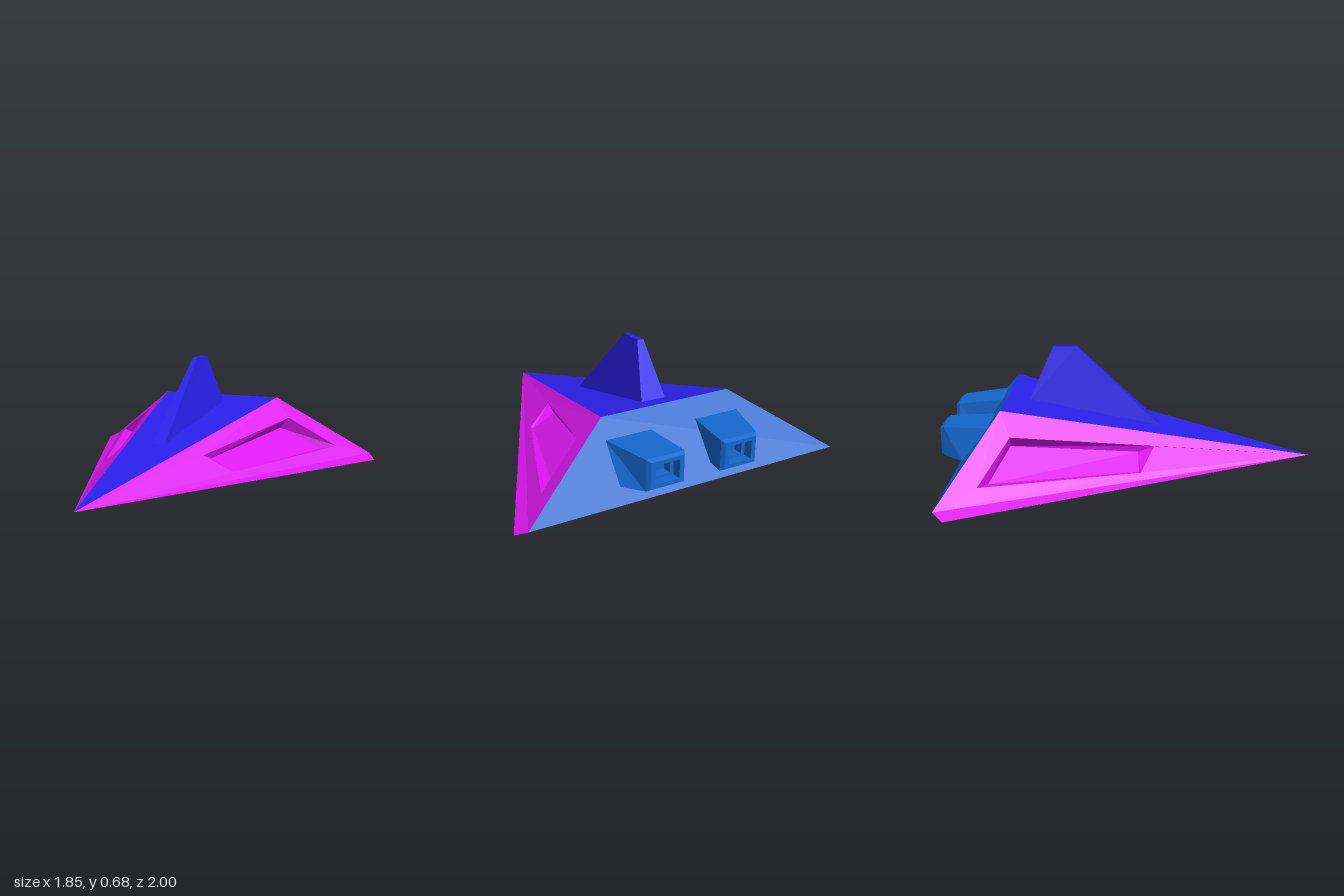
import * as THREE from 'three';

const BLUE = 0x2a20ea, MAGENTA = 0xdc18f0, TEAL = 0x1466cc;

// Flat-shaded mesh from planar polygons; mirror = true reflects it across x.
function polyMesh(name, color, polys, mirror = false) {
  const pos = [];
  for (const p of polys) {
    const q = mirror ? p.map(([x, y, z]) => [-x, y, z]).reverse() : p;
    for (let i = 1; i < q.length - 1; i++) pos.push(...q[0], ...q[i], ...q[i + 1]);
  }
  const geo = new THREE.BufferGeometry();
  geo.setAttribute('position', new THREE.Float32BufferAttribute(pos, 3));
  geo.computeVertexNormals();
  const mesh = new THREE.Mesh(geo, new THREE.MeshStandardMaterial({ color, flatShading: true }));
  mesh.name = name;
  return mesh;
}

// Joins successive rings of corners and caps the last one.
function loft(rings) {
  const polys = [rings[rings.length - 1]];
  for (let r = 0; r < rings.length - 1; r++) {
    const a = rings[r], b = rings[r + 1];
    a.forEach((p, i) => {
      const j = (i + 1) % a.length;
      polys.push([p, a[j], b[j], b[i]]);
    });
  }
  return polys;
}

export function createModel() {
  const model = new THREE.Group();
  model.name = 'spacecraft';
  const flip = ([x, y, z]) => [-x, y, z];

  // Hull corners: nose, rear of deck, upper and lower wing tip
  const nose = [0, 0.055, 1], deck = [0.37, 0.425, -0.67];
  const tipUp = [0.88, 0.085, -0.925], tipLow = [0.925, 0.055, -0.87];

  model.add(polyMesh('upperDeck', BLUE, [[nose, deck, flip(deck)]]));
  model.add(polyMesh('hullBottom', BLUE, [[nose, flip(tipLow), tipLow]]));
  model.add(polyMesh('rearHull', TEAL, [
    [deck, tipUp, flip(tipUp), flip(deck)],
    [tipUp, tipLow, flip(tipLow), flip(tipUp)],
  ]));

  // Side panel with a sunken tray: front bottom, back bottom, back top, front top
  const rim = [[0.4, 0.1, 0.055], [0.725, 0.145, -0.74], [0.47, 0.315, -0.61], [0.25, 0.193, 0.125]];
  const floor = [[0.385, 0.1, 0.045], [0.64, 0.13, -0.7], [0.415, 0.25, -0.615], [0.26, 0.165, 0.04]];
  const side = [
    [nose, tipLow, tipUp],
    [tipUp, deck, rim[2], rim[1]],
    [deck, nose, rim[3], rim[2]],
    [nose, tipUp, rim[1], rim[0]],
    [nose, rim[0], rim[3]],
  ];

  // Engine housing: outer x, inner x, bottom y, top y, bottom z, top z
  const section = (xo, xi, yb, yt, zb, zt = zb) =>
    [[xo, yb, zb], [xi, yb, zb], [xi, yt, zt], [xo, yt, zt]];
  const engine = loft([
    section(0.385, 0.13, 0.155, 0.335, -0.875, -0.735),
    section(0.315, 0.105, 0.16, 0.318, -0.98),
    section(0.3, 0.118, 0.172, 0.308, -1),
    section(0.275, 0.143, 0.192, 0.288, -1),
    section(0.275, 0.143, 0.192, 0.288, -0.95),
    section(0.255, 0.163, 0.205, 0.275, -0.95),
    section(0.255, 0.163, 0.205, 0.275, -0.9),
  ]);

  for (const [label, mirror] of [['left', false], ['right', true]]) {
    model.add(polyMesh(label + 'SidePanel', MAGENTA, side, mirror));
    model.add(polyMesh(label + 'SideTray', MAGENTA, loft([rim, floor]), mirror));
    model.add(polyMesh(label + 'Engine', TEAL, engine, mirror));
  }

  // Tapered rings in the horizontal sense, wound counterclockwise from above
  const ring = (wf, wb, yf, yb, zf, zb) =>
    [[-wf, yf, zf], [wf, yf, zf], [wb, yb, zb], [-wb, yb, zb]];

  // Dorsal fin
  model.add(polyMesh('dorsalFin', BLUE, loft([
    ring(0.037, 0.07, 0.24, 0.398, 0.16, -0.555),
    ring(0.013, 0.018, 0.68, 0.68, -0.295, -0.425),
  ])));

  // Belly keel, wound the other way because it points down
  model.add(polyMesh('keel', BLUE, loft([
    ring(0.135, 0.135, 0.055, 0.055, 0.07, -0.735).reverse(),
    ring(0.102, 0.102, 0, 0, -0.015, -0.655).reverse(),
  ])));

  return model;
}
